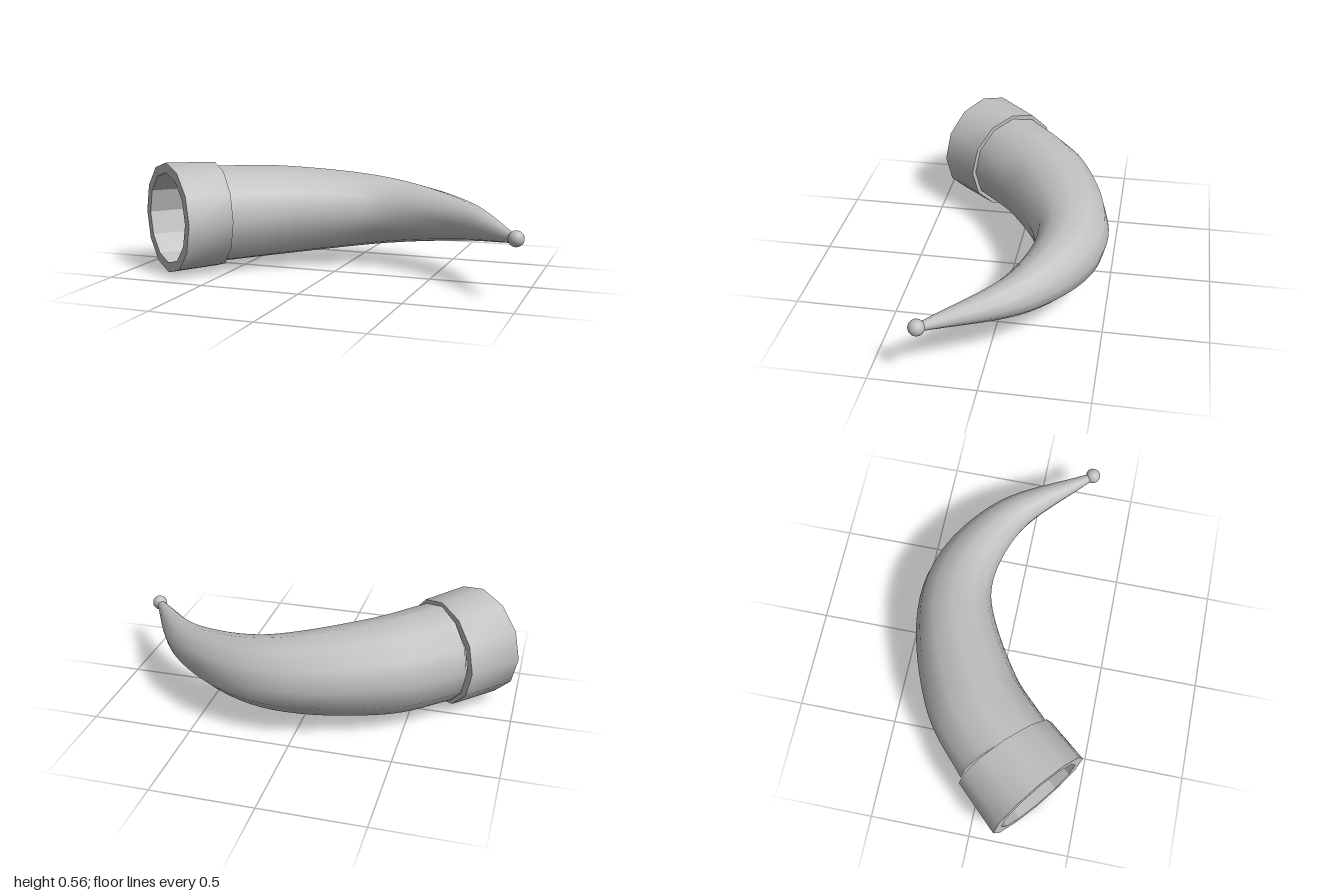
import * as THREE from 'three';

const SIDES = 12, AXIS_Y = 0.28;

// Skin a list of rings {x, z, dx, dz, r}; (dx, dz) is the direction along the horn
function skin(rings, flat = false) {
  const pos = [], index = [];
  rings.forEach(({ x, z, dx, dz, r }, i) => {
    const len = Math.hypot(dx, dz);
    for (let j = 0; j < SIDES; j++) {
      const a = (j / SIDES) * Math.PI * 2, c = r * Math.cos(a);
      pos.push(x + (c * dz) / len, AXIS_Y + r * Math.sin(a), z - (c * dx) / len);
      if (i === 0) continue;
      const k = (j + 1) % SIDES, p = (i - 1) * SIDES, q = i * SIDES;
      index.push(p + j, p + k, q + j, p + k, q + k, q + j);
    }
  });
  let geo = new THREE.BufferGeometry();
  geo.setAttribute('position', new THREE.Float32BufferAttribute(pos, 3));
  geo.setIndex(index);
  if (flat) geo = geo.toNonIndexed();
  geo.computeVertexNormals();
  return geo;
}

export function createModel() {
  const group = new THREE.Group();
  const grey = new THREE.MeshStandardMaterial({ color: 0xc0c0c0 });
  grey.name = 'grey';
  const add = (name, geo) => {
    const mesh = new THREE.Mesh(geo, grey);
    mesh.name = name;
    group.add(mesh);
    return mesh;
  };

  // Curved, tapering horn: the middle value of each point is the radius
  const path = new THREE.CatmullRomCurve3([
    [-0.61, 0.25, 0.11], [-0.35, 0.237, -0.115], [0.17, 0.178, -0.303],
    [0.6, 0.107, -0.15], [0.96, 0.018, 0.265],
  ].map((p) => new THREE.Vector3(...p)));
  const rings = [];
  for (let i = 0; i <= 40; i++) {
    const p = path.getPoint(i / 40), d = path.getTangent(i / 40);
    rings.push({ x: p.x, z: p.z, dx: d.x, dz: d.z, r: p.y });
  }
  add('horn', skin(rings));

  // Hollow collar at the wide end
  const mouth = (r) => ({ x: -0.785, z: 0.305, dx: 0.63, dz: -0.776, r });
  const base = (r) => ({ x: -0.61, z: 0.11, dx: 0.707, dz: -0.707, r });
  add('collarFloor', skin([base(0), base(0.23)], true));
  add('collarInside', skin([base(0.23), mouth(0.23)], true));
  add('collarRim', skin([mouth(0.23), mouth(0.28)], true));
  add('collarOutside', skin([mouth(0.28), base(0.27)]));
  add('collarBack', skin([base(0.27), base(0.23)], true));

  // Ball on the tip
  add('tipBall', new THREE.SphereGeometry(0.038, 20, 14)).position.set(0.962, AXIS_Y + 0.003, 0.268);

  return group;
}
